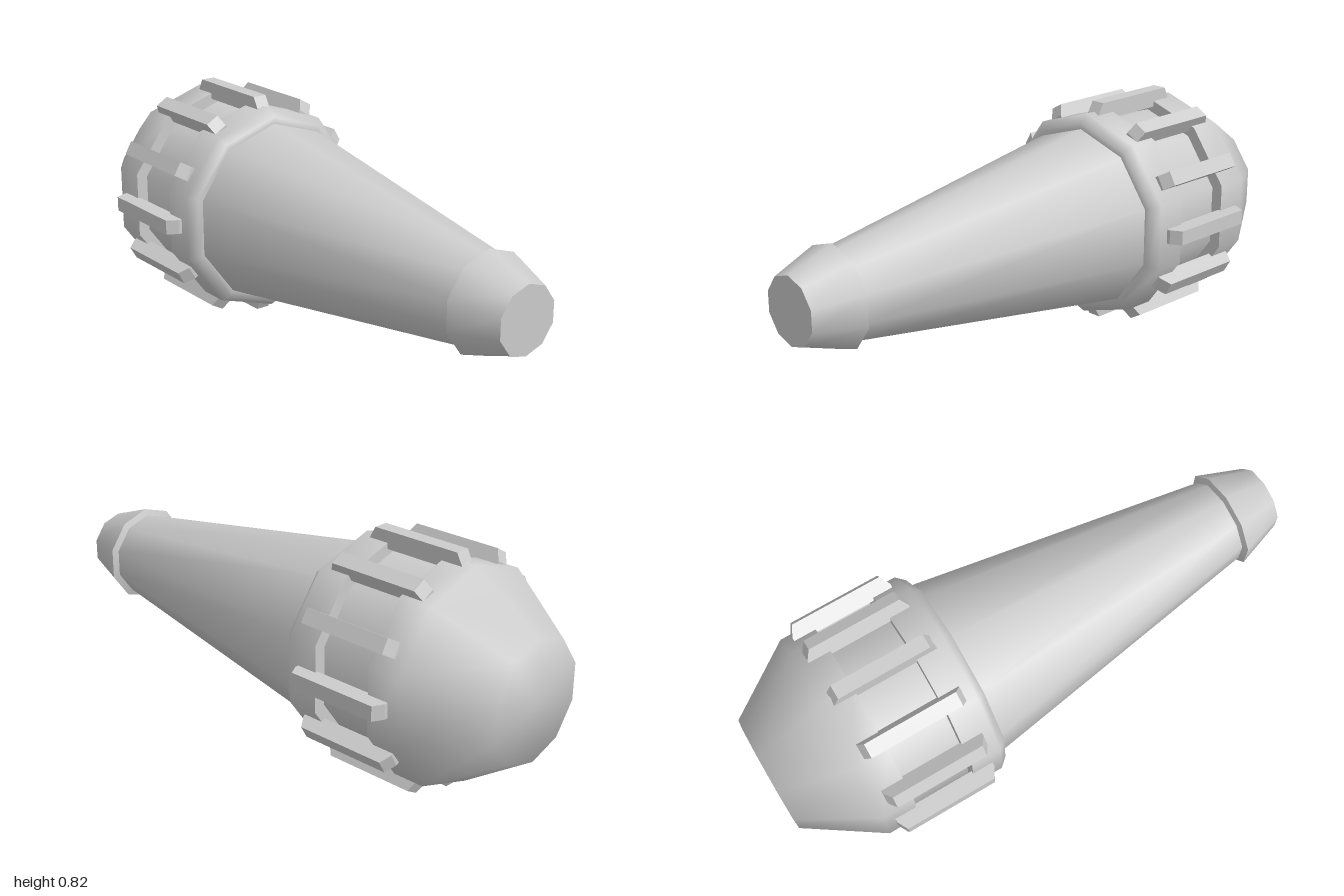
import * as THREE from 'three';

const material = new THREE.MeshStandardMaterial({ color: 0xcccccc });
const SIDES = 10;

// Ten-sided turned part around the z axis; profile is [z, radius] from back to front
function turned(name, profile) {
  const points = profile.map(([z, r]) => new THREE.Vector2(r, z));
  const geometry = new THREE.LatheGeometry(points, SIDES);
  geometry.rotateX(Math.PI / 2);
  const mesh = new THREE.Mesh(geometry, material);
  mesh.name = name;
  return mesh;
}

// Rib with sloped ends, drawn as a side profile and extruded across its width
function ribGeometry() {
  const width = 0.052;
  const shape = new THREE.Shape();
  shape.moveTo(0.335, 0.35);
  shape.lineTo(0.71, 0.35);
  shape.lineTo(0.71, 0.373);
  shape.lineTo(0.69, 0.412);
  shape.lineTo(0.357, 0.412);
  shape.lineTo(0.335, 0.373);
  shape.closePath();
  const geometry = new THREE.ExtrudeGeometry(shape, { depth: width, bevelEnabled: false });
  geometry.translate(0, 0, -width / 2);
  geometry.rotateY(Math.PI / 2);
  return geometry;
}

export function createModel() {
  const group = new THREE.Group();
  const body = new THREE.Group();
  body.name = 'body';
  body.position.y = 0.413;
  group.add(body);

  body.add(
    // Head: smooth dome, recessed band and rounded front collar
    turned('dome', [[-1, 0], [-1, 0.209], [-0.745, 0.379], [-0.63, 0.379]]),
    turned('domeShoulder', [[-0.63, 0.379], [-0.63, 0.335]]),
    turned('recessedBand', [[-0.63, 0.335], [-0.41, 0.335]]),
    turned('collarShoulder', [[-0.41, 0.335], [-0.41, 0.379]]),
    turned('collar', [[-0.41, 0.379], [-0.3, 0.379], [-0.27, 0.351], [-0.27, 0.325]]),
    // Tapered handle and its end piece
    turned('handle', [[-0.27, 0.328], [0.83, 0.153]]),
    turned('tipShoulder', [[0.82, 0.15], [0.83, 0.178]]),
    turned('tip', [[0.83, 0.178], [1, 0.118]]),
    turned('tipCap', [[1, 0.118], [1, 0]])
  );

  // Twelve ribs around the head
  const rib = ribGeometry();
  const ribs = new THREE.Group();
  ribs.name = 'ribs';
  for (let i = 0; i < 12; i++) {
    const mesh = new THREE.Mesh(rib, material);
    mesh.name = 'rib';
    mesh.rotation.z = (i * Math.PI) / 6;
    ribs.add(mesh);
  }
  body.add(ribs);

  return group;
}
